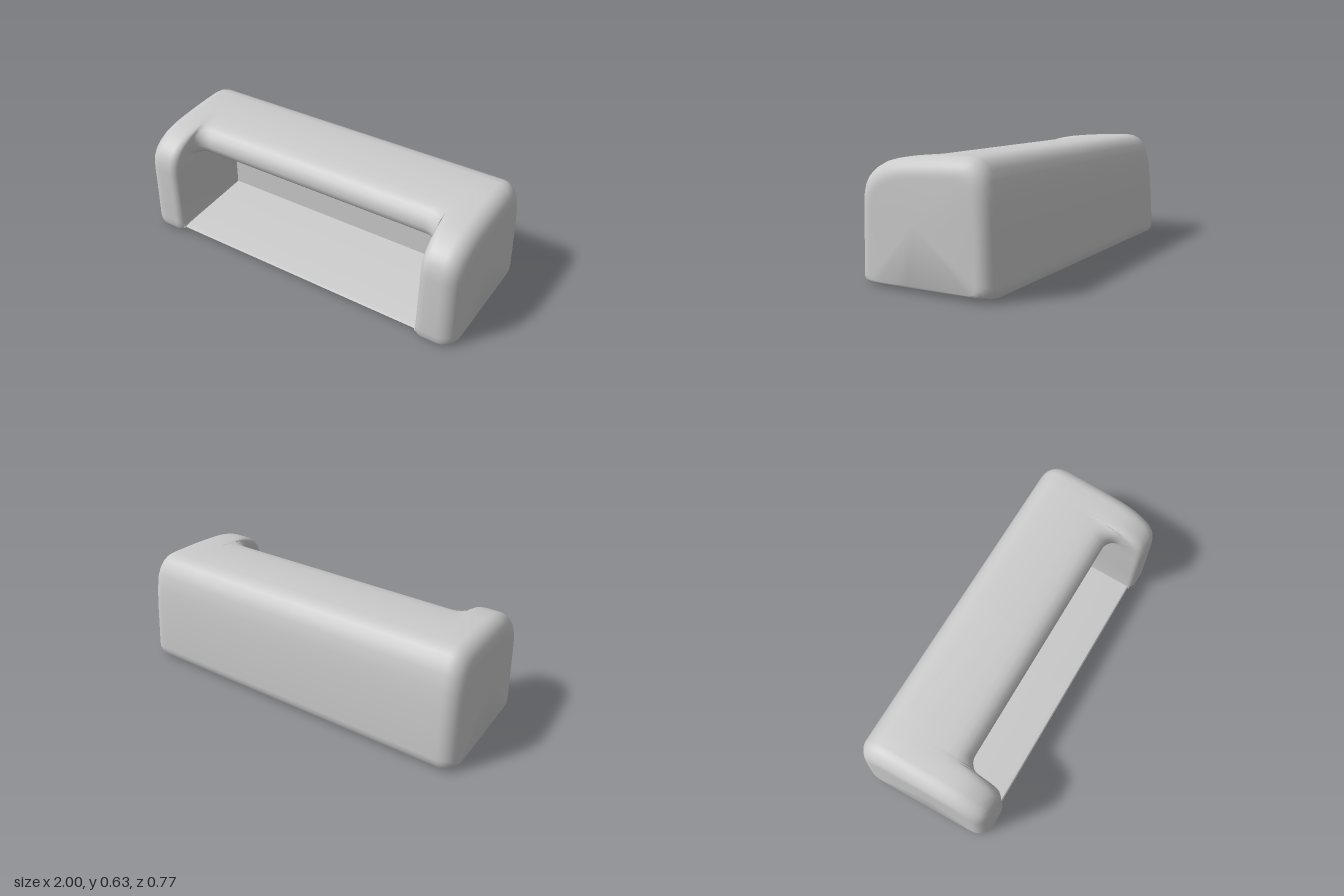
import * as THREE from 'three';
import { toCreasedNormals } from 'three/addons/utils/BufferGeometryUtils.js';

// Side profile [z, y] shared by the arms and the hooded middle: underside, back, top
const SHARED = [
  [0.1, 0.004], [-0.34, 0.01], [-0.372, 0.02], [-0.385, 0.045], [-0.386, 0.07],
  [-0.37, 0.35], [-0.36, 0.45], [-0.345, 0.53], [-0.325, 0.575], [-0.295, 0.61],
  [-0.26, 0.627], [-0.22, 0.633], [-0.1, 0.63], [0, 0.625],
];

// Front of the profile: [arm z, arm y, middle z, middle y, corner fillet weight]
const FRONT = [
  // hood and its rolled lip
  [0.08, 0.619, 0.06, 0.617, 0], [0.15, 0.612, 0.10, 0.61, 0.3],
  [0.2, 0.603, 0.13, 0.595, 0.7], [0.25, 0.59, 0.155, 0.57, 1],
  [0.28, 0.575, 0.168, 0.54, 1], [0.31, 0.56, 0.17, 0.51, 1],
  [0.335, 0.54, 0.165, 0.485, 1], [0.355, 0.52, 0.15, 0.467, 0.8],
  [0.372, 0.49, 0.125, 0.46, 0.4],
  // recess: ceiling, back wall, floor
  [0.382, 0.45, -0.14, 0.46, 0], [0.385, 0.4, -0.14, 0.4, 0],
  [0.386, 0.2, -0.14, 0.07, 0], [0.388, 0.06, 0.335, 0.04, 0],
  // floor lip and underside
  [0.387, 0.03, 0.355, 0.036, 0], [0.38, 0.013, 0.361, 0.028, 0],
  [0.36, 0.004, 0.355, 0.021, 0], [0.3, 0.001, 0.3, 0.019, 0], [0.2, 0.002, 0.2, 0.012, 0],
];

// A section at x; place() turns each front entry into [z, y]
const section = (x, place) => [...SHARED, ...FRONT.map(place)].map(([z, y]) => [x, y, z]);

function halfSections() {
  const list = [section(0, (p) => [p[2], p[3]])];
  const steps = 6;
  const angle = (i) => (i / steps) * Math.PI / 2;

  // fillet where the hood lip meets the arm
  for (let i = steps; i >= 0; i--) {
    const b = angle(i);
    list.push(section(0.76 - 0.08 * (1 - Math.cos(b)),
      (p) => [p[2] + 0.08 * p[4] * (1 - Math.sin(b)), p[3]]));
  }
  // rounded inner edge of the arm
  for (let i = steps; i >= 0; i--) {
    const a = angle(i);
    list.push(section(0.81 - 0.048 * Math.sin(a), ([za, ya, zc, yc]) => {
      const dist = Math.hypot(zc - za, yc - ya) || 1;
      const f = Math.min(0.6, 0.04 * (1 - Math.cos(a)) / dist);
      return [za + (zc - za) * f, ya + (yc - ya) * f];
    }));
  }
  // rounded outer end of the arm, slightly tapered to the top and front
  const end = 8;
  for (let i = 0; i <= end; i++) {
    const c = (i / end) * Math.PI / 2;
    const inset = 1 - Math.cos(c);
    const x = 0.91 + 0.09 * Math.sin(c);
    list.push(section(x, (p) => [p[0], p[1]]).map(([, y, z]) => [
      x - 0.025 * y - 0.026 * (z + 0.385),
      0.025 * inset + y * (1 - 0.125 * inset / 0.633),
      z * (1 - 0.18 * inset / 0.77) - 0.01 * inset * Math.sign(-z) * 0.5,
    ]));
  }
  return list;
}

// Skin closed sections ordered along +x and cap both ends
function loft(sections) {
  const n = sections[0].length;
  const pos = sections.flat(2);
  const index = [];
  for (let s = 0; s < sections.length - 1; s++) {
    for (let p = 0; p < n; p++) {
      const q = (p + 1) % n;
      const a = s * n + p, b = s * n + q;
      index.push(a, b, b + n, a, b + n, a + n);
    }
  }
  [0, sections.length - 1].forEach((s) => {
    const ring = sections[s];
    const centre = pos.length / 3;
    pos.push(...[0, 1, 2].map((k) => ring.reduce((sum, v) => sum + v[k], 0) / n));
    for (let p = 0; p < n; p++) {
      const a = s * n + p, b = s * n + (p + 1) % n;
      if (s === 0) index.push(centre, b, a);
      else index.push(centre, a, b);
    }
  });
  const geo = new THREE.BufferGeometry();
  geo.setAttribute('position', new THREE.Float32BufferAttribute(pos, 3));
  geo.setIndex(index);
  return toCreasedNormals(geo, 0.7);
}

export function createModel() {
  const group = new THREE.Group();
  group.name = 'hoodedHousing';

  // One continuous body: two arms, the hood, the recess and its floor
  const half = halfSections();
  const mirrored = half.slice(1).reverse().map((ring) => ring.map(([x, y, z]) => [-x, y, z]));
  const body = new THREE.Mesh(
    loft([...mirrored, ...half]),
    new THREE.MeshStandardMaterial({ color: 0xcccccc, roughness: 0.8 }),
  );
  body.name = 'body';
  group.add(body);
  return group;
}
